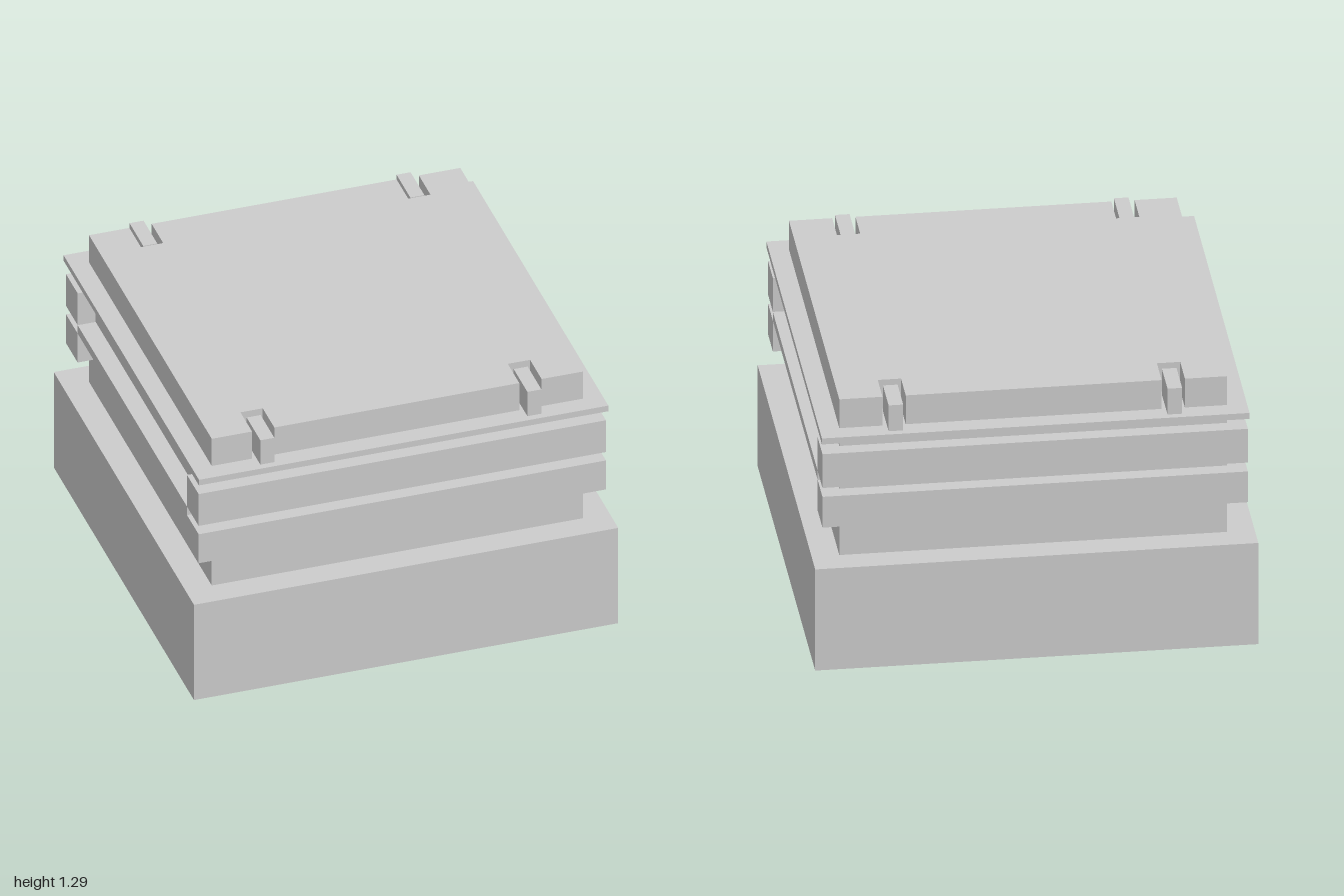
import * as THREE from 'three';

export function createModel() {
  const model = new THREE.Group();
  const material = new THREE.MeshStandardMaterial({ color: 0xcccccc, flatShading: true });
  const openMaterial = material.clone();
  openMaterial.side = THREE.DoubleSide;

  const add = (name, geometry, mat = material) => {
    const mesh = new THREE.Mesh(geometry, mat);
    mesh.name = name;
    model.add(mesh);
    return mesh;
  };
  // Box given by its lower and upper limits on each axis
  const box = (name, [x0, x1], [y0, y1], [z0, z1]) =>
    add(name, new THREE.BoxGeometry(x1 - x0, y1 - y0, z1 - z0))
      .position.set((x0 + x1) / 2, (y0 + y1) / 2, (z0 + z1) / 2);

  const baseTop = 0.51, half = 0.875;

  // Base: thin square skirt, open underneath, with a flat ledge on top
  const skirt = new THREE.CylinderGeometry(Math.SQRT2, Math.SQRT2, baseTop, 4, 1, true);
  skirt.rotateY(Math.PI / 4);
  add('baseSkirt', skirt, openMaterial).position.y = baseTop / 2;
  const ledge = new THREE.PlaneGeometry(2, 2).rotateX(-Math.PI / 2);
  add('baseLedge', ledge, openMaterial).position.y = baseTop;

  // Main body and the thin flange under the lid
  box('body', [-half, half], [baseTop, 1.12], [-half, half]);
  box('flange', [-0.965, 0.965], [1.12, 1.15], [-0.965, 0.965]);

  // Two clamping beams on the front and on the back
  for (const [z0, z1] of [[0.78, 0.945], [-0.945, -0.78]]) {
    box('lowerBeam', [-0.96, 0.96], [0.69, 0.845], [z0, z1]);
    box('upperBeam', [-0.96, 0.96], [0.89, 1.06], [z0, z1]);
  }

  // Slim rails along the sides, between the beams
  for (const [x0, x1] of [[half, 0.96], [-0.96, -half]]) {
    box('sideRail', [x0, x1], [0.845, 0.89], [-0.78, 0.78]);
  }

  // Lid with four notches in its front and back edges
  const edge = [[-half, half], [-0.685, half], [-0.685, 0.71], [-0.58, 0.71], [-0.58, half],
    [0.575, half], [0.575, 0.71], [0.68, 0.71], [0.68, half], [half, half]];
  const outline = [...edge, ...edge.map(([x, y]) => [x, -y]).reverse()];
  const lidShape = new THREE.Shape(outline.map(([x, y]) => new THREE.Vector2(x, y)));
  const lid = new THREE.ExtrudeGeometry(lidShape, { depth: 0.145, bevelEnabled: false });
  lid.rotateX(-Math.PI / 2);
  add('lid', lid).position.y = 1.15;

  // Clips standing in the notches
  for (const x of [-0.632, 0.627]) {
    for (const [z0, z1] of [[0.737, 0.933], [-0.933, -0.737]]) {
      box('clip', [x - 0.033, x + 0.033], [1.15, 1.28], [z0, z1]);
    }
  }
  return model;
}
